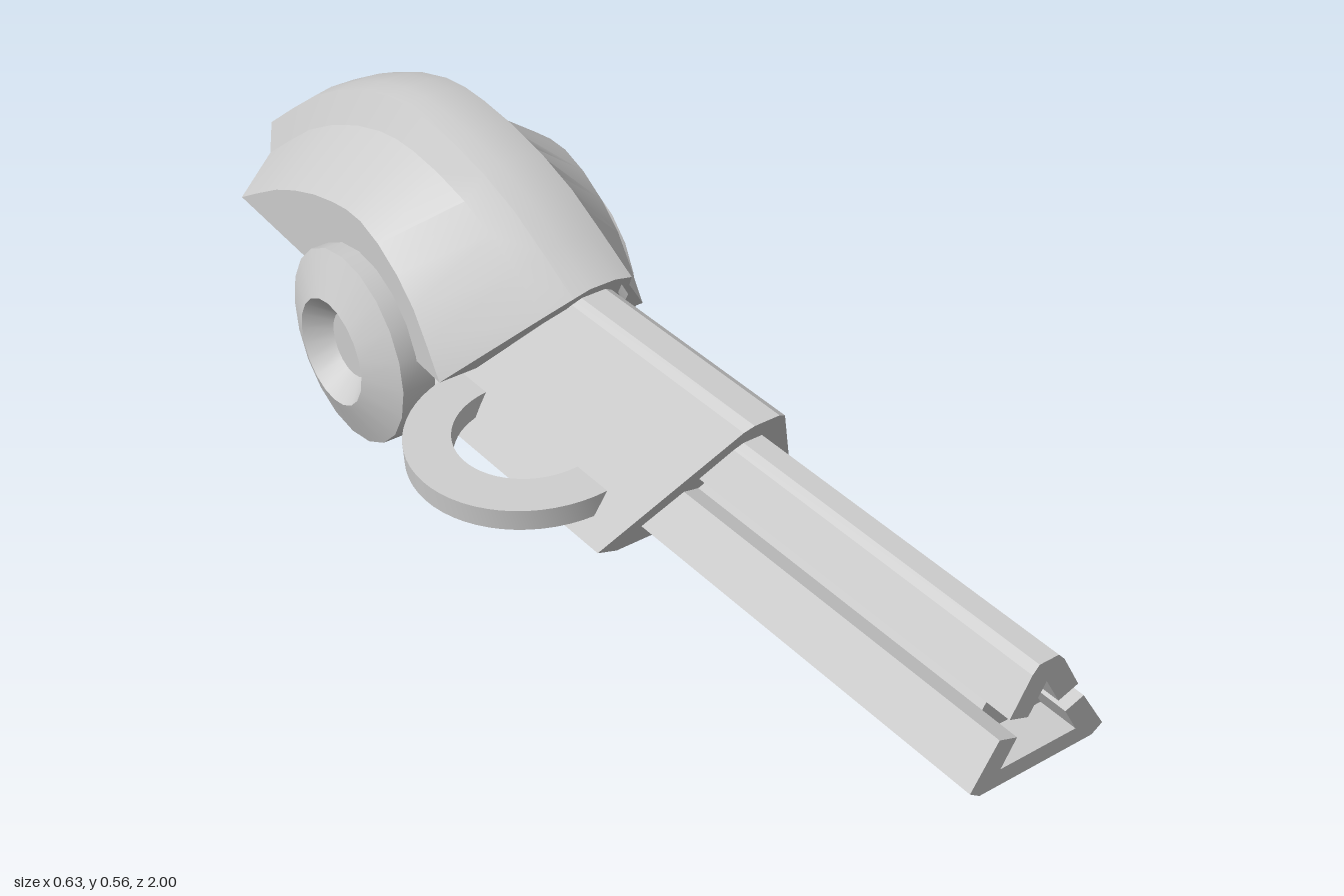
import * as THREE from 'three';
import { toCreasedNormals, mergeVertices } from 'three/addons/utils/BufferGeometryUtils.js';

const MAT = new THREE.MeshStandardMaterial({ color: 0xcccccc });

function add(parent, name, geometry) {
  const mesh = new THREE.Mesh(geometry, MAT);
  mesh.name = name;
  parent.add(mesh);
  return mesh;
}

// Extrude an x-y outline from z0 to z1
function prism(points, z0, z1) {
  const shape = new THREE.Shape(points.map(([x, y]) => new THREE.Vector2(x, y)));
  return new THREE.ExtrudeGeometry(shape, { depth: z1 - z0, bevelEnabled: false }).translate(0, 0, z0);
}

// Complete a half outline with its mirror image across x = 0
const mirrored = (half) => [...half, ...half.map(([x, y]) => [-x, y]).reverse()];

// Lathe about the x axis, centred on the wheel axle
function axleLathe(profile, segments) {
  const geo = new THREE.LatheGeometry(profile.map(([r, h]) => new THREE.Vector2(r, h)), segments);
  return toCreasedNormals(geo.rotateZ(-Math.PI / 2), 0.5);
}

// Hollow hood: outer and inner skins lofted along three arched edge paths
function hoodGeometry() {
  const path = (pts) => new THREE.CatmullRomCurve3(pts.map(([z, y]) => new THREE.Vector3(0, y, z)));
  const ridge = path([[-0.03, 0.413], [-0.23, 0.512], [-0.44, 0.553], [-0.58, 0.546], [-0.79, 0.462], [-1, 0.31]]);
  const mid = path([[-0.075, 0.365], [-0.25, 0.463], [-0.44, 0.503], [-0.57, 0.492], [-0.77, 0.41], [-0.96, 0.272]]);
  const lower = path([[-0.2, 0.22], [-0.29, 0.345], [-0.42, 0.418], [-0.53, 0.413], [-0.69, 0.36], [-0.85, 0.27]]);
  const floor = (z) => Math.min(0.27, 0.22 + (-0.2 - z) * 0.077);
  const steps = 12;
  const stations = [];
  for (let i = 0; i <= steps; i++) {
    const [r, m, l] = [ridge, mid, lower].map((c) => c.getPoint(i / steps));
    const half = [
      [0.21, floor(l.z), l.z], [0.21, l.y, l.z], [0.087, m.y, m.z],
      [0.058, r.y, r.z], [0.025, r.y + 0.007, r.z],
    ];
    const outer = [...half, ...half.map(([x, y, z]) => [-x, y, z]).reverse()];
    const inner = outer.map(([x, y, z]) => [x * 0.88, Math.max(floor(z), y - 0.03), z]);
    stations.push({ outer, inner });
  }
  const pos = [];
  const tri = (...corners) => corners.forEach((c) => pos.push(...c));
  const quad = (a, b, c, d) => { tri(a, b, c); tri(a, c, d); };
  const n = stations[0].outer.length;
  for (let i = 0; i < steps; i++) {
    const s = stations[i], t = stations[i + 1];
    for (let j = 0; j < n - 1; j++) {
      quad(s.outer[j], t.outer[j], t.outer[j + 1], s.outer[j + 1]);
      quad(s.inner[j], s.inner[j + 1], t.inner[j + 1], t.inner[j]);
    }
    // lower rims
    quad(s.outer[0], s.inner[0], t.inner[0], t.outer[0]);
    quad(s.outer[n - 1], t.outer[n - 1], t.inner[n - 1], s.inner[n - 1]);
  }
  // closed front wall and open rear rim
  const front = stations[0].outer, back = stations[steps];
  for (let j = 0; j < n - 1; j++) {
    tri([0, 0.22, -0.2], front[j], front[j + 1]);
    quad(back.outer[j], back.inner[j], back.inner[j + 1], back.outer[j + 1]);
  }
  const geo = new THREE.BufferGeometry();
  geo.setAttribute('position', new THREE.Float32BufferAttribute(pos, 3));
  return toCreasedNormals(mergeVertices(geo), 0.4);
}

export function createModel() {
  const model = new THREE.Group();
  model.name = 'model';
  const body = new THREE.Group();
  body.name = 'body';
  body.position.x = 0.04;
  model.add(body);

  // Barrel: two rails around a recessed triangular core
  add(body, 'upperRail', prism([
    [0, 0.3], [0.029, 0.25], [0.065, 0.263], [0.03, 0.325], [0.018, 0.338],
    [-0.018, 0.338], [-0.03, 0.325], [-0.065, 0.263], [-0.029, 0.25],
  ], 0.1, 1));
  add(body, 'lowerRail', prism(mirrored([
    [0.072, 0.177], [0.046, 0.222], [0.08, 0.234], [0.127, 0.16], [0.108, 0.147],
  ]), 0.1, 1));
  add(body, 'barrelCore', prism([[-0.072, 0.177], [0.072, 0.177], [0, 0.3]], 0.1, 0.93));

  // Housing: truncated triangle with a raked front face
  const housing = prism(mirrored([
    [0.145, 0.095], [0.195, 0.123], [0.04, 0.38], [0.024, 0.39],
  ]), -0.4, 0.39);
  const p = housing.attributes.position;
  for (let i = 0; i < p.count; i++) {
    if (p.getZ(i) > 0) p.setZ(i, 0.39 - (0.39 - p.getY(i)) * 0.62);
  }
  housing.computeVertexNormals();
  add(body, 'housing', housing);

  // Rear hood
  add(body, 'hood', hoodGeometry());

  // Drum and dished side wheels
  const axle = new THREE.Group();
  axle.name = 'axle';
  axle.position.set(0, 0.178, -0.44);
  body.add(axle);
  add(axle, 'drum', axleLathe([[0, -0.19], [0.156, -0.19], [0.156, 0.19], [0, 0.19]], 18));
  for (const side of [1, -1]) {
    const wheel = add(axle, side > 0 ? 'leftWheel' : 'rightWheel', axleLathe([
      [0, 0.18], [0.178, 0.18], [0.178, 0.243], [0.098, 0.276], [0.06, 0.235], [0, 0.235],
    ], 20));
    if (side < 0) wheel.rotation.y = Math.PI;
  }

  // Side loop handle
  const ring = new THREE.Shape();
  const a0 = Math.PI * 0.47, a1 = Math.PI * 1.53;
  ring.absarc(0, 0, 0.21, a0, a1, false);
  ring.absarc(0, 0, 0.13, a1, a0, true);
  const loop = new THREE.ExtrudeGeometry(ring, { depth: 0.038, bevelEnabled: false, curveSegments: 16 });
  loop.rotateX(-Math.PI / 2);
  const handle = add(body, 'sideHandle', toCreasedNormals(loop, 0.5));
  handle.position.set(-0.145, 0.163, -0.025);
  handle.rotation.z = 0.08;

  return model;
}
